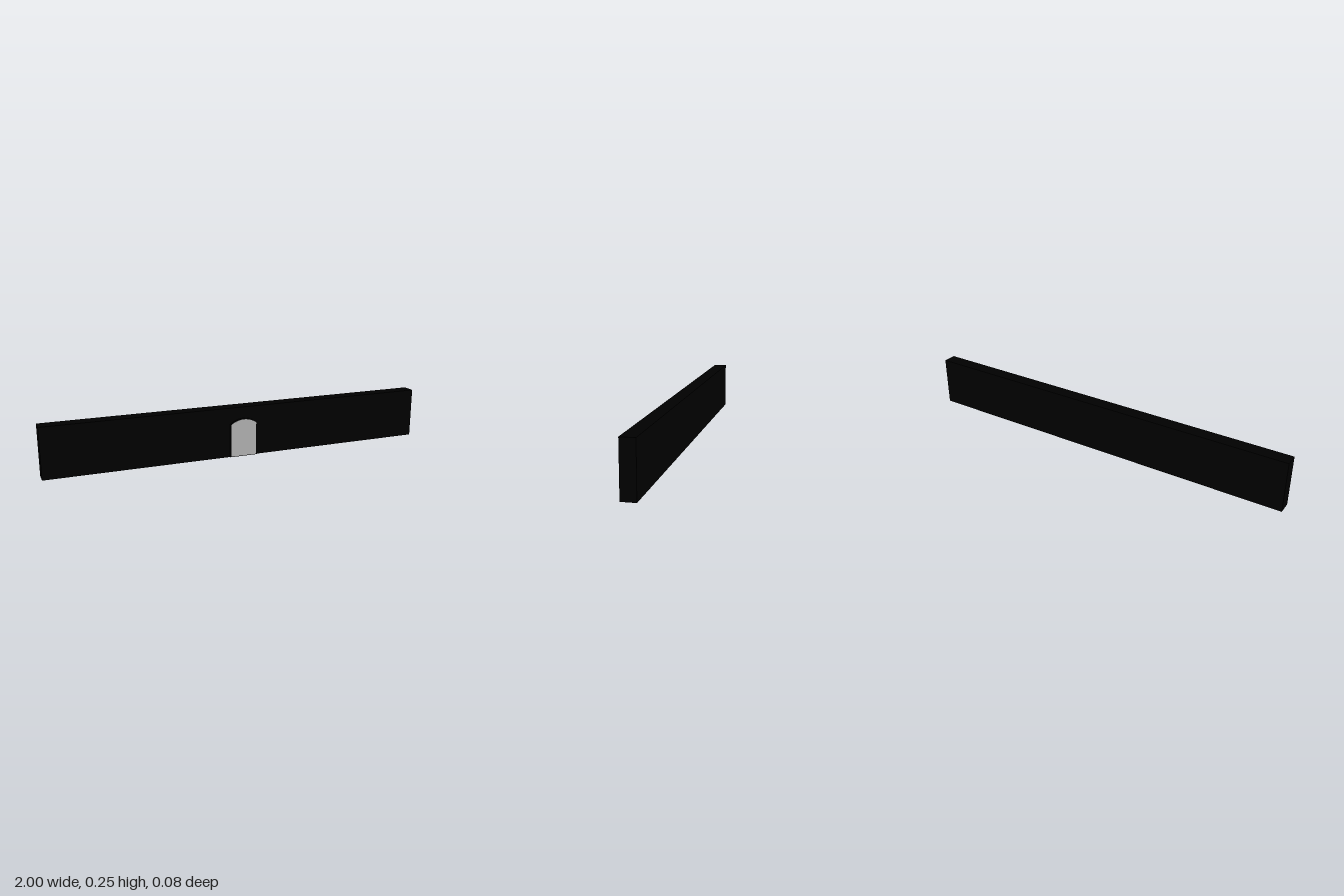
import * as THREE from 'three';

// Arched doorway outline: straight jambs and a shallow segmental arch
function archShape(halfWidth, shoulder, top, bottom = 0) {
  const rise = top - shoulder;
  const radius = (halfWidth * halfWidth + rise * rise) / (2 * rise);
  const half = Math.asin(halfWidth / radius);
  const shape = new THREE.Shape();
  shape.moveTo(-halfWidth, bottom);
  shape.lineTo(halfWidth, bottom);
  shape.lineTo(halfWidth, shoulder);
  shape.absarc(0, top - radius, radius, Math.PI / 2 - half, Math.PI / 2 + half, false);
  shape.closePath();
  return shape;
}

export function createModel() {
  const group = new THREE.Group();
  const black = new THREE.MeshStandardMaterial({ color: 0x000000 });
  const grey = new THREE.MeshStandardMaterial({ color: 0xcccccc });

  const add = (name, geometry, material, y, z) => {
    const mesh = new THREE.Mesh(geometry, material);
    mesh.name = name;
    mesh.position.set(0, y, z);
    group.add(mesh);
  };
  const extrude = (shape, depth) =>
    new THREE.ExtrudeGeometry(shape, { depth, bevelEnabled: false, curveSegments: 24 });

  // Long plain wall
  add('wall', new THREE.BoxGeometry(2, 0.255, 0.069), black, 0.1275, -0.0035);

  // Raised arched surround on the front face
  add('doorSurround', extrude(archShape(0.073, 0.172, 0.197), 0.0095), black, 0, 0.028);

  // Pale door panel, just proud of the surround
  add('doorPanel', extrude(archShape(0.067, 0.169, 0.192, 0.003), 0.004), grey, 0, 0.034);

  return group;
}
